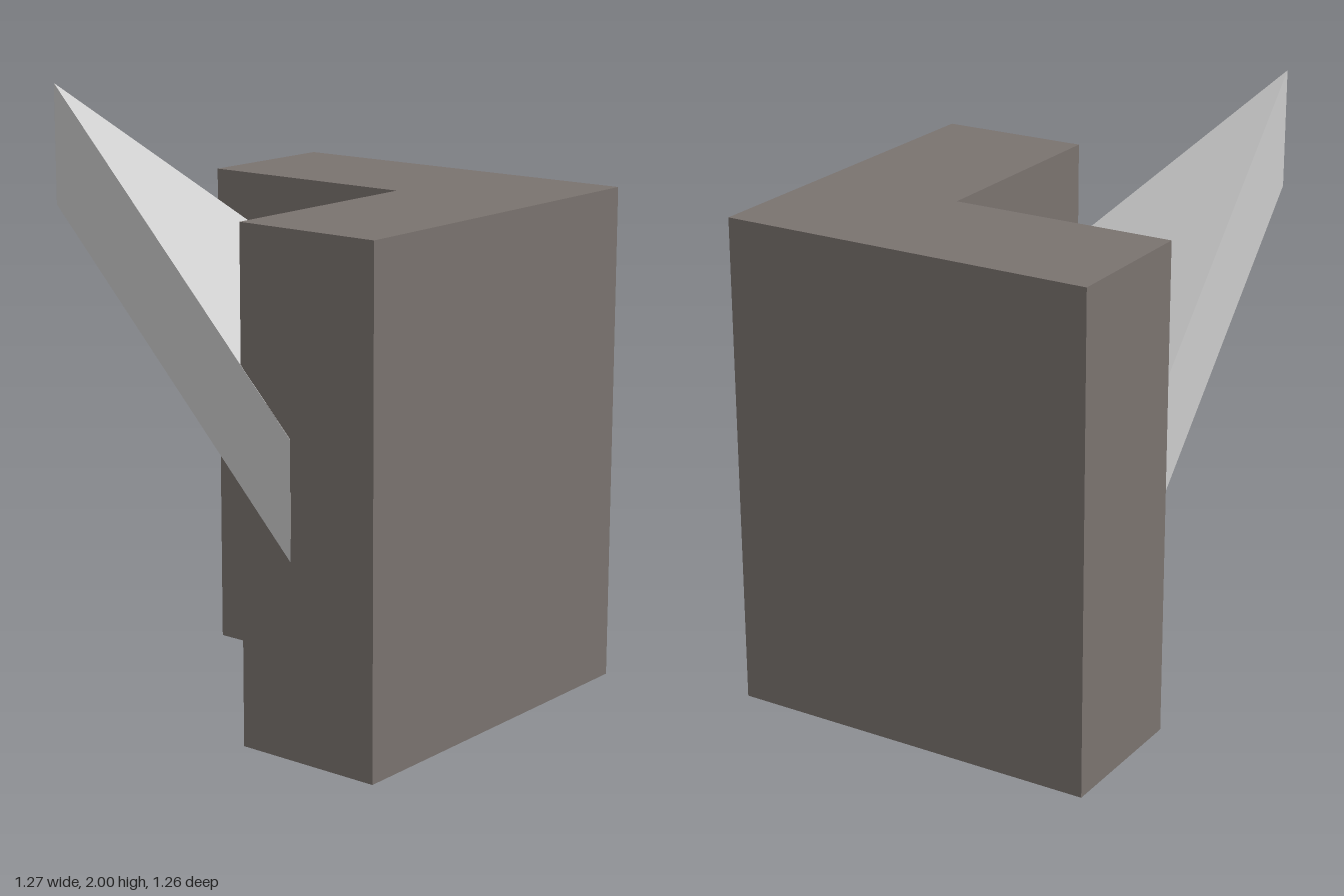
import * as THREE from 'three';

const HALF = 0.6325;      // half of the footprint
const INNER = 0.1265;     // inside corner of the walls
const WALL_TOP = 1.645;
const EAVE = 0.317;       // low ends of the roof, buried in the walls
const PITCH = 1.04;
const THICKNESS = 0.38;

// Extrudes a plan of [x, z] corners downwards from the given height.
function slab(plan, depth, top) {
  const shape = new THREE.Shape(plan.map(([x, z]) => new THREE.Vector2(x, z)));
  return new THREE.ExtrudeGeometry(shape, { depth, bevelEnabled: false })
    .rotateX(Math.PI / 2)
    .translate(0, top, 0);
}

// Drops every vertex in proportion to its distance from the outer corner.
function slope(geometry) {
  const p = geometry.attributes.position;
  for (let i = 0; i < p.count; i++) {
    const run = Math.max(p.getX(i), p.getZ(i)) + HALF;
    p.setY(i, p.getY(i) - PITCH * run);
  }
  geometry.computeVertexNormals();
  return geometry;
}

export function createModel() {
  const model = new THREE.Group();
  model.name = 'cornerBlock';

  // L-shaped walls
  const wallMaterial = new THREE.MeshStandardMaterial({ color: 0x7a736f, flatShading: true });
  const walls = new THREE.Mesh(slab([
    [-HALF, HALF], [HALF, HALF], [HALF, -HALF],
    [INNER, -HALF], [INNER, INNER], [-HALF, INNER],
  ], WALL_TOP, WALL_TOP), wallMaterial);
  walls.name = 'cornerWalls';
  model.add(walls);

  // Hipped roof: two sloping triangular halves meeting on the diagonal
  const roofMaterial = new THREE.MeshStandardMaterial({ color: 0xcccccc, flatShading: true });
  const roof = new THREE.Group();
  roof.name = 'slopingRoof';
  const halves = {
    roofSideSlope: [[-HALF, -HALF], [EAVE, -HALF], [EAVE, EAVE]],
    roofFrontSlope: [[-HALF, -HALF], [EAVE, EAVE], [-HALF, EAVE]],
  };
  for (const [name, plan] of Object.entries(halves)) {
    const half = new THREE.Mesh(slope(slab(plan, THICKNESS, 2)), roofMaterial);
    half.name = name;
    roof.add(half);
  }
  // Tiny shift keeps the roof ends from flickering against the wall ends
  roof.position.set(-0.001, 0, 0.001);
  model.add(roof);

  return model;
}
